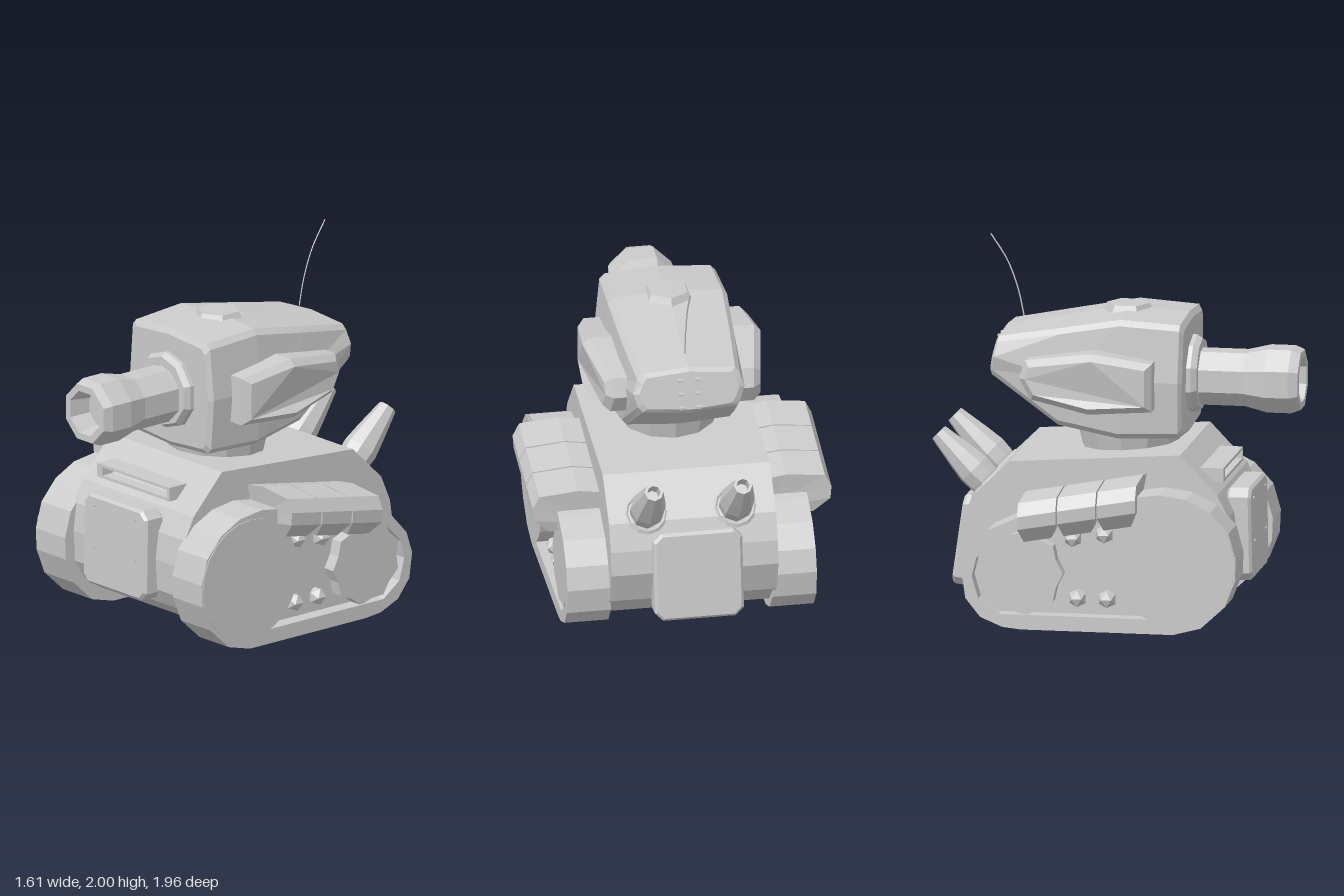
import * as THREE from 'three';

const material = new THREE.MeshStandardMaterial({ color: 0xcccccc, flatShading: true });
const doubleSided = new THREE.MeshStandardMaterial({ color: 0xcccccc, flatShading: true, side: THREE.DoubleSide });

export function createModel() {
  const model = new THREE.Group();

  const add = (name, geometry, mat = material) => {
    const flat = geometry.index ? geometry.toNonIndexed() : geometry;
    flat.computeVertexNormals();
    const mesh = new THREE.Mesh(flat, mat);
    mesh.name = name;
    model.add(mesh);
    return mesh;
  };

  // Reflects a geometry across x = 0 and restores its winding
  const mirrored = (geometry) => {
    const g = geometry.index ? geometry.toNonIndexed() : geometry.clone();
    const p = g.attributes.position;
    const v = [0, 1, 2].map(() => new THREE.Vector3());
    for (let i = 0; i < p.count; i += 3) {
      v.forEach((w, k) => w.fromBufferAttribute(p, i + k));
      [v[0], v[2], v[1]].forEach((w, k) => p.setXYZ(i + k, -w.x, w.y, w.z));
    }
    return g;
  };
  const addPair = (name, geometry, mat) => {
    const other = mirrored(geometry);
    add('left' + name, geometry, mat);
    add('right' + name, other, mat);
  };

  const toShape = (pts) => new THREE.Shape(pts.map(([a, b]) => new THREE.Vector2(a, b)));

  // Extrudes a (z, y) outline between two x positions
  const slab = (shape, x0, x1, bevel = 0) => {
    const g = new THREE.ExtrudeGeometry(shape, {
      depth: x1 - x0 - 2 * bevel, bevelEnabled: bevel > 0, bevelSize: bevel,
      bevelThickness: bevel, bevelOffset: -bevel, bevelSegments: 1, curveSegments: 8,
    });
    return g.rotateY(-Math.PI / 2).translate(x1 - bevel, 0, 0);
  };

  // Skins rings of [x, y, z], ordered front to back, each counterclockwise from the front
  const loft = (rings) => {
    const n = rings[0].length;
    const out = [];
    const tri = (...pts) => pts.forEach((p) => out.push(...p));
    for (let r = 0; r + 1 < rings.length; r++) {
      for (let i = 0; i < n; i++) {
        const j = (i + 1) % n, a = rings[r], b = rings[r + 1];
        tri(a[i], b[i], b[j]);
        tri(a[i], b[j], a[j]);
      }
    }
    const first = rings[0], last = rings[rings.length - 1];
    for (let i = 1; i + 1 < n; i++) {
      tri(first[0], first[i], first[i + 1]);
      tri(last[0], last[i + 1], last[i]);
    }
    const g = new THREE.BufferGeometry();
    g.setAttribute('position', new THREE.Float32BufferAttribute(out, 3));
    return g;
  };

  const lathe = (pts, sides) =>
    new THREE.LatheGeometry(pts.map(([r, h]) => new THREE.Vector2(r, h)), sides);

  // Hull
  add('hull', slab(toShape([
    [0.5, 0.1], [0.62, 0.19], [0.67, 0.28], [0.68, 0.45], [0.66, 0.6], [0.6, 0.72], [0.4, 0.93],
    [-0.52, 0.865], [-0.72, 0.67], [-0.78, 0.53], [-0.8, 0.4], [-0.74, 0.22], [-0.62, 0.1],
  ]), -0.455, 0.445));

  // Tracks: a solid inner slab plus an outer rim around a recess
  const trackOutline = [
    [0.4, 0], [0.55, 0.04], [0.68, 0.16], [0.735, 0.3], [0.74, 0.42], [0.7, 0.56], [0.6, 0.67],
    [0.47, 0.735], [0.32, 0.755], [0.15, 0.73], [-0.45, 0.6], [-0.6, 0.53], [-0.7, 0.42],
    [-0.74, 0.3], [-0.72, 0.16], [-0.64, 0.06], [-0.52, 0.01], [-0.42, 0],
  ];
  addPair('TrackBody', slab(toShape(trackOutline), 0.435, 0.59));
  const rim = toShape(trackOutline);
  rim.holes.push(new THREE.Path([
    [0.35, 0.08], [0.52, 0.14], [0.62, 0.28], [0.62, 0.46], [0.5, 0.62], [0.3, 0.66],
    [-0.42, 0.54], [-0.56, 0.48], [-0.66, 0.38], [-0.685, 0.28], [-0.65, 0.16], [-0.54, 0.08],
  ].map(([z, y]) => new THREE.Vector2(z, y))));
  addPair('TrackRim', slab(rim, 0.59, 0.672));

  // Wheels: a plain front disc and a toothed rear sprocket
  const wheel = (sides, radius, z, y, x, tooth = 0) => slab(toShape(
    Array.from({ length: sides }, (_, i) => {
      const a = (i / sides) * Math.PI * 2, r = radius - (i % 2) * tooth;
      return [z + r * Math.cos(a), y + r * Math.sin(a)];
    })), 0.55, x);
  addPair('FrontWheel', wheel(24, 0.335, 0.4, 0.385, 0.677));
  addPair('Sprocket', wheel(18, 0.235, -0.43, 0.305, 0.66, 0.025));
  [[0.02, 0.52], [-0.15, 0.495], [0.035, 0.17], [-0.125, 0.17]].forEach(([z, y], i) => {
    addPair('Roller' + (i + 1), new THREE.IcosahedronGeometry(0.052, 0).translate(0.61, y, z));
  });

  // Stepped side skirts, three overlapping blocks per side
  const skirtSection = [
    [0.42, 0.62], [0.66, 0.61], [0.71, 0.595], [0.8, 0.68], [0.805, 0.75], [0.77, 0.82], [0.56, 0.84], [0.42, 0.82],
  ];
  for (let i = 0; i < 3; i++) {
    const ring = (z, inward) => skirtSection.map(([x, y]) => {
      const zz = z + (y < 0.65 ? inward : 0);
      return [x, y - 0.18 * (0.22 - zz), zz];
    });
    const z = 0.22 - i * 0.215;
    addPair('Skirt' + (i + 1), loft([ring(z, -0.04), ring(z - 0.207, 0.02)]));
  }

  // Turret
  const turretRing = (zTop, zBottom, top, bottom, w) => {
    const mid = (top + bottom) / 2;
    const half = [[0.84, bottom + 0.02], [0.92, bottom + 0.05], [1, mid], [0.92, top - 0.05], [0.84, top - 0.02]];
    const z = (y) => zBottom + (zTop - zBottom) * (y - bottom) / (top - bottom);
    return [
      [0, bottom, z(bottom)], ...half.map(([s, y]) => [s * w, y, z(y)]),
      [0, top, z(top)], ...half.reverse().map(([s, y]) => [-s * w, y, z(y)]),
    ];
  };
  add('turret', loft([
    turretRing(0.39, 0.38, 1.59, 0.99, 0.315),
    turretRing(0.37, 0.36, 1.62, 0.965, 0.34),
    turretRing(0.05, 0.04, 1.64, 0.955, 0.35),
    turretRing(-0.28, -0.29, 1.58, 1.015, 0.33),
    turretRing(-0.61, -0.655, 1.52, 1.27, 0.3),
    turretRing(-0.625, -0.67, 1.5, 1.295, 0.27),
  ]));
  add('turretNeck', new THREE.CylinderGeometry(0.29, 0.25, 0.16, 12).translate(0, 0.94, 0.05));
  add('hatch', new THREE.CylinderGeometry(0.115, 0.14, 0.05, 6).translate(0, 1.63, 0.04));

  // Side pods, tapering inward towards front and back
  const pod = slab(toShape([
    [0.24, 1.15], [0.24, 1.41], [-0.08, 1.46], [-0.45, 1.4], [-0.485, 1.3], [-0.42, 1.19], [-0.1, 1.13],
  ].reverse()), 0.24, 0.48, 0.035);
  const pp = pod.attributes.position;
  for (let i = 0; i < pp.count; i++) {
    const z = pp.getZ(i) + 0.08;
    if (pp.getX(i) > 0.36) pp.setX(i, pp.getX(i) - (z > 0 ? z * 0.08 : -z * 0.17));
  }
  addPair('Pod', pod);

  // Cannon with hollow muzzle, and its collar
  add('cannon', lathe([
    [0.165, 0.3], [0.155, 0.45], [0.155, 0.68], [0.185, 0.8], [0.185, 0.93], [0.165, 0.98],
    [0.125, 0.98], [0.105, 0.86], [0, 0.86],
  ], 8).rotateY(Math.PI / 8).rotateX(Math.PI / 2).translate(0, 1.27, 0));
  add('cannonCollar', lathe([
    [0.21, 0.32], [0.21, 0.41], [0.19, 0.44], [0.14, 0.44],
  ], 10).rotateX(Math.PI / 2).translate(0, 1.285, 0));

  // Vision slot on the sloping front
  const frame = toShape([[-0.325, 0.765], [0.26, 0.765], [0.26, 0.84], [-0.325, 0.84]]);
  frame.holes.push(new THREE.Path([[-0.28, 0.78], [-0.28, 0.825], [0.24, 0.825], [0.24, 0.78]]
    .map(([x, y]) => new THREE.Vector2(x, y))));
  add('visionSlot', new THREE.ExtrudeGeometry(frame, { depth: 0.16, bevelEnabled: false }).translate(0, 0, 0.45));

  // Armour plates with clipped corners and small rivets
  const plate = (name, width, height, place) => {
    const w = width / 2, h = height / 2, c = 0.045;
    const g = new THREE.ExtrudeGeometry(toShape([
      [-w + c, -h], [w - c, -h], [w, -h + c], [w, h - c], [w - c, h], [-w + c, h], [-w, h - c], [-w, -h + c],
    ]), { depth: 0.1, bevelSize: 0.015, bevelOffset: -0.015, bevelThickness: 0.015, bevelSegments: 1 });
    const group = new THREE.Group();
    group.name = name;
    group.add(add(name + 'Panel', g));
    for (const x of [-0.165, 0.165]) for (const y of [-0.04, 0.19]) {
      group.add(add(name + 'Rivet', new THREE.BoxGeometry(0.012, 0.012, 0.01).translate(x, y, 0.117)));
    }
    place(group);
    model.add(group);
  };
  plate('frontPlate', 0.51, 0.5, (g) => { g.position.set(-0.025, 0.47, 0.637); g.rotation.x = -0.02; });
  plate('rearPlate', 0.48, 0.49, (g) => { g.position.set(-0.02, 0.37, -0.725); g.rotation.set(0.14, Math.PI, 0); });

  // Exhaust pipes with base rings
  const tilt = (g) => g.rotateX(-Math.PI / 4).translate(0.24, 0.7, -0.68);
  addPair('Exhaust', tilt(lathe([
    [0.075, -0.06], [0.09, 0.03], [0.095, 0.1], [0.08, 0.2], [0.05, 0.37], [0.035, 0.37], [0.03, 0.3], [0, 0.3],
  ], 8)), doubleSided);
  addPair('ExhaustRing', tilt(new THREE.TorusGeometry(0.105, 0.014, 4, 12).rotateX(Math.PI / 2)));

  // Rear turret vents
  for (const x of [-0.045, 0.045]) for (let i = 0; i < 3; i++) {
    add('vent', new THREE.BoxGeometry(0.03, 0.012, 0.04).translate(x, 1.31 + i * 0.075, -0.665 + i * 0.014));
  }

  // Antenna
  const whip = new THREE.CatmullRomCurve3([
    [1.56, -0.525], [1.7, -0.555], [1.86, -0.615], [2, -0.705],
  ].map(([y, z]) => new THREE.Vector3(0.005, y, z)));
  add('antenna', new THREE.TubeGeometry(whip, 10, 0.004, 4));

  return model;
}
